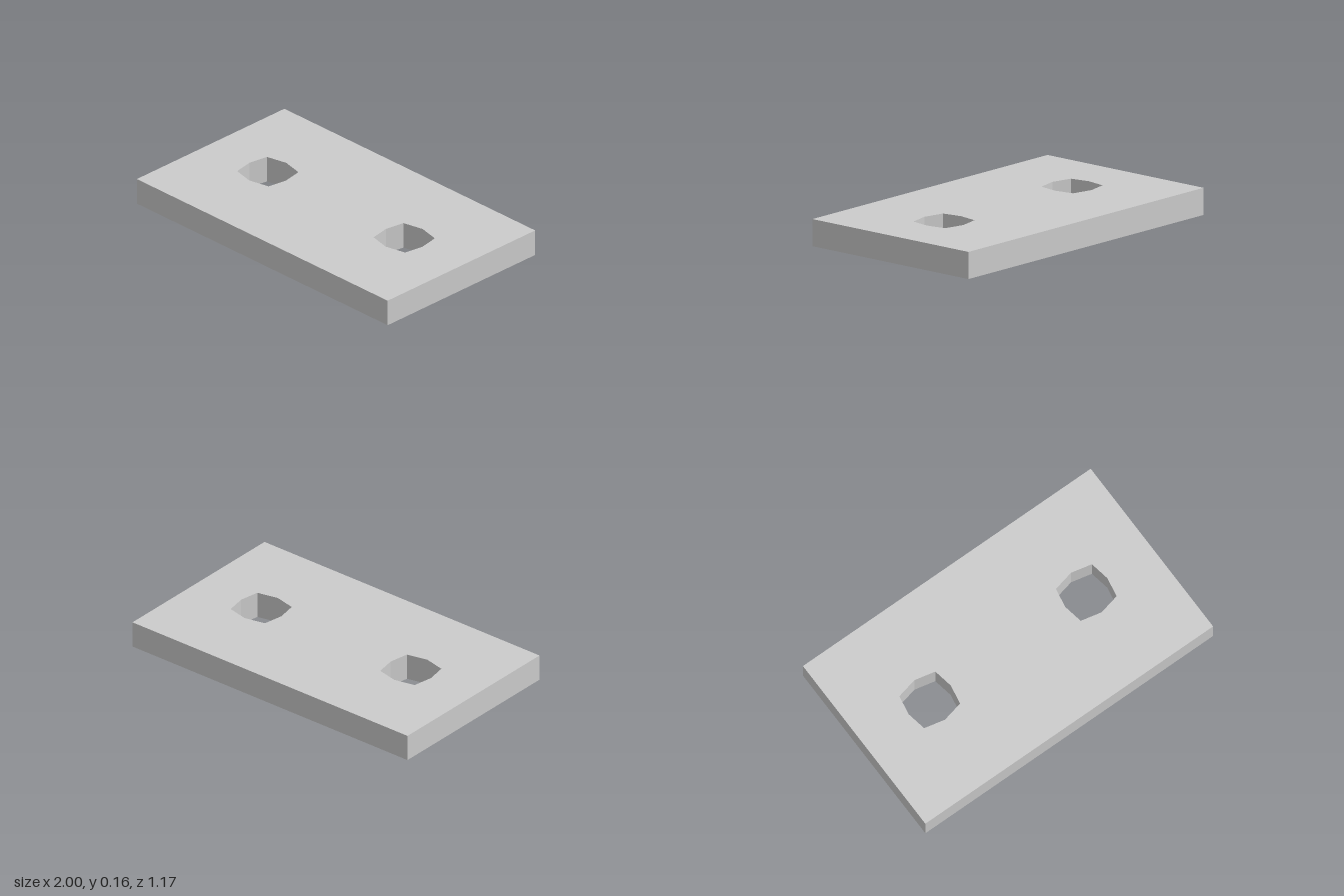
import * as THREE from 'three';

const WIDTH = 2, DEPTH = 1.166, HEIGHT = 0.157;
const HOLE_X = 0.544;

// Eight-sided hole: four axis points and four pushed-out corners
function holePath(cx) {
  const tip = 0.146, cornerX = 0.125, cornerY = 0.118;
  const points = [
    [tip, 0], [cornerX, -cornerY], [0, -tip], [-cornerX, -cornerY],
    [-tip, 0], [-cornerX, cornerY], [0, tip], [cornerX, cornerY],
  ];
  return new THREE.Path(points.map(([x, y]) => new THREE.Vector2(cx + x, y)));
}

export function createModel() {
  const group = new THREE.Group();
  group.name = 'plateWithHoles';

  // Rectangular outline with a mirrored pair of through holes
  const w = WIDTH / 2, d = DEPTH / 2;
  const outline = new THREE.Shape([
    new THREE.Vector2(-w, -d), new THREE.Vector2(w, -d),
    new THREE.Vector2(w, d), new THREE.Vector2(-w, d),
  ]);
  for (const side of [-1, 1]) outline.holes.push(holePath(side * HOLE_X));

  // Extrude, then lay flat with the underside on y = 0
  const geometry = new THREE.ExtrudeGeometry(outline, { depth: HEIGHT, bevelEnabled: false });
  geometry.rotateX(-Math.PI / 2);

  const plate = new THREE.Mesh(
    geometry,
    new THREE.MeshStandardMaterial({ color: 0xcccccc, flatShading: true })
  );
  plate.name = 'plate';
  group.add(plate);
  return group;
}
